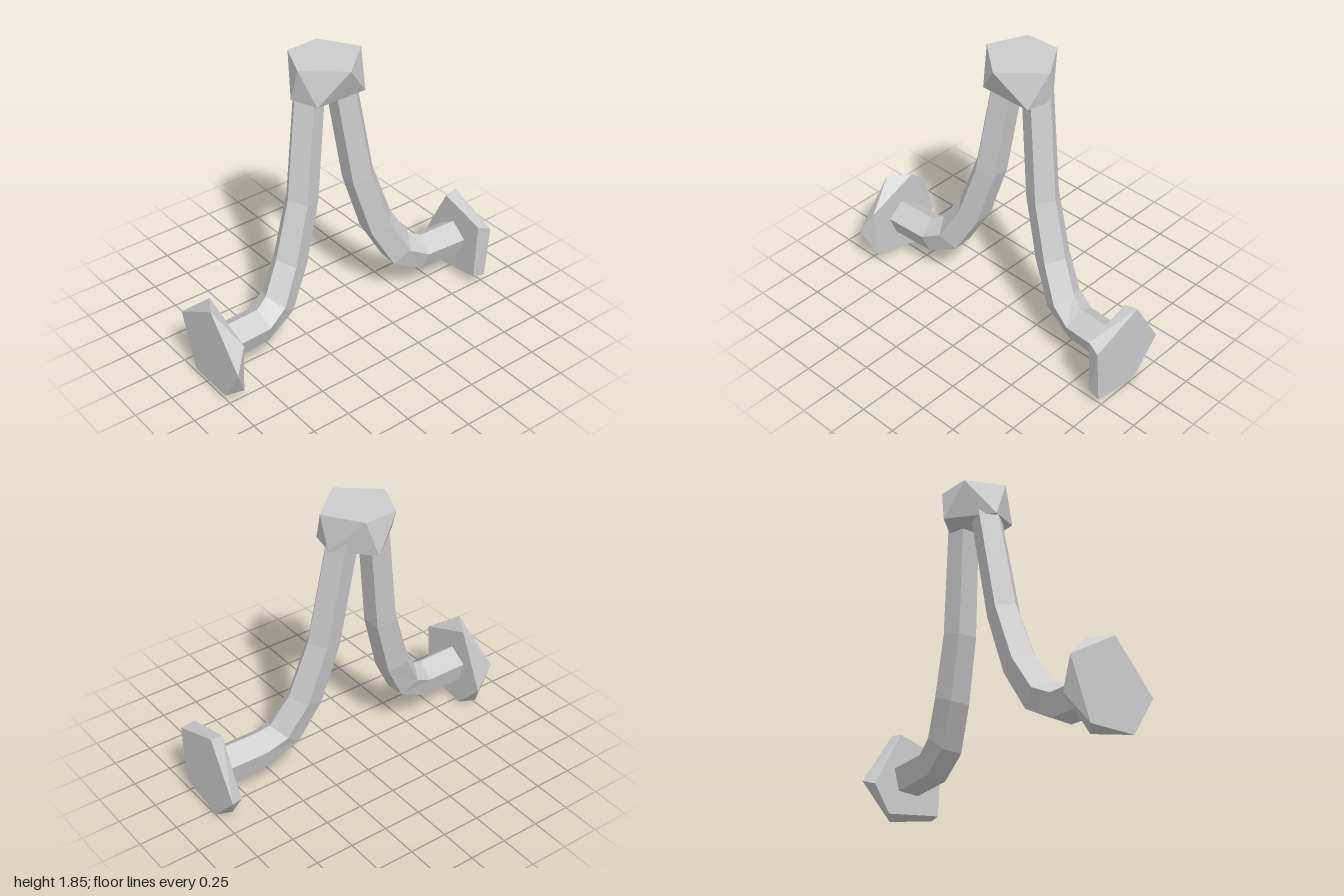
import * as THREE from 'three';
import { ConvexGeometry } from 'three/addons/geometries/ConvexGeometry.js';

const material = new THREE.MeshStandardMaterial({ color: 0xcccccc, flatShading: true });

// Leg centre line from foot to head: x, y, z, radius
const legPath = [
  [0.95, 0.283, 0.045, 0.122],
  [0.62, 0.29, 0.035, 0.12],
  [0.47, 0.37, 0.005, 0.118],
  [0.34, 0.6, -0.04, 0.112],
  [0.22, 0.98, -0.075, 0.105],
  [0.125, 1.63, -0.125, 0.1],
  [0.115, 1.72, -0.13, 0.1],
];

// Five-sided tube swept along the path; side is +1 or -1 in x
function legGeometry(side) {
  const sides = 5, phase = Math.PI / 12;
  const positions = [], index = [];
  legPath.forEach(([x, y, z, r], i) => {
    const prev = legPath[Math.max(i - 1, 0)];
    const next = legPath[Math.min(i + 1, legPath.length - 1)];
    const dir = new THREE.Vector2(next[0] - prev[0], next[1] - prev[1]).normalize();
    for (let k = 0; k < sides; k++) {
      const a = phase + (k / sides) * Math.PI * 2;
      const out = r * Math.sin(a);
      positions.push(side * (x + dir.y * out), y - dir.x * out, z + r * Math.cos(a));
    }
  });
  for (let i = 0; i < legPath.length - 1; i++) {
    for (let k = 0; k < sides; k++) {
      const a0 = i * sides + k, a1 = i * sides + ((k + 1) % sides);
      const b0 = a0 + sides, b1 = a1 + sides;
      if (side > 0) index.push(a0, a1, b1, a0, b1, b0);
      else index.push(a0, b1, a1, a0, b0, b1);
    }
  }
  const geometry = new THREE.BufferGeometry();
  geometry.setAttribute('position', new THREE.Float32BufferAttribute(positions, 3));
  geometry.setIndex(index);
  geometry.computeVertexNormals();
  return geometry;
}

// Faceted slab joining two five-sided outlines
function slab(outlineA, outlineB, toPointA, toPointB) {
  return new ConvexGeometry([...outlineA.map(toPointA), ...outlineB.map(toPointB)]);
}

// End plate on a plane of constant x; outlines are (z, y)
function plateGeometry(side, outer, inner) {
  return slab(outer, inner,
    ([z, y]) => new THREE.Vector3(side, y, z),
    ([z, y]) => new THREE.Vector3(side * 0.915, y, z));
}

export function createModel() {
  const group = new THREE.Group();
  const add = (name, geometry) => {
    const mesh = new THREE.Mesh(geometry, material);
    mesh.name = name;
    group.add(mesh);
  };

  // Curved legs
  add('leftLeg', legGeometry(1));
  add('rightLeg', legGeometry(-1));

  // End plates
  add('leftEndPlate', plateGeometry(1,
    [[-0.04, 0.58], [0.31, 0.45], [0.28, 0.07], [-0.04, 0.005], [-0.25, 0.23]],
    [[-0.03, 0.565], [0.285, 0.48], [0.27, 0.08], [-0.1, 0.025], [-0.21, 0.2]]));
  add('rightEndPlate', plateGeometry(-1,
    [[0.09, 0.59], [0.355, 0.28], [0.2, 0.03], [-0.11, 0.025], [-0.24, 0.39]],
    [[-0.05, 0.57], [0.3, 0.43], [0.28, 0.08], [-0.04, 0.005], [-0.225, 0.2]]));

  // Top cap; outlines are (x, z)
  add('topCap', slab(
    [[0, 0.125], [0.24, -0.09], [0.09, -0.32], [-0.13, -0.31], [-0.235, -0.07]],
    [[-0.17, 0.03], [0.18, 0.03], [0.22, -0.14], [0.02, -0.355], [-0.235, -0.14]],
    ([x, z]) => new THREE.Vector3(x, 1.85, z),
    ([x, z]) => new THREE.Vector3(x, 1.63, z)));

  return group;
}
